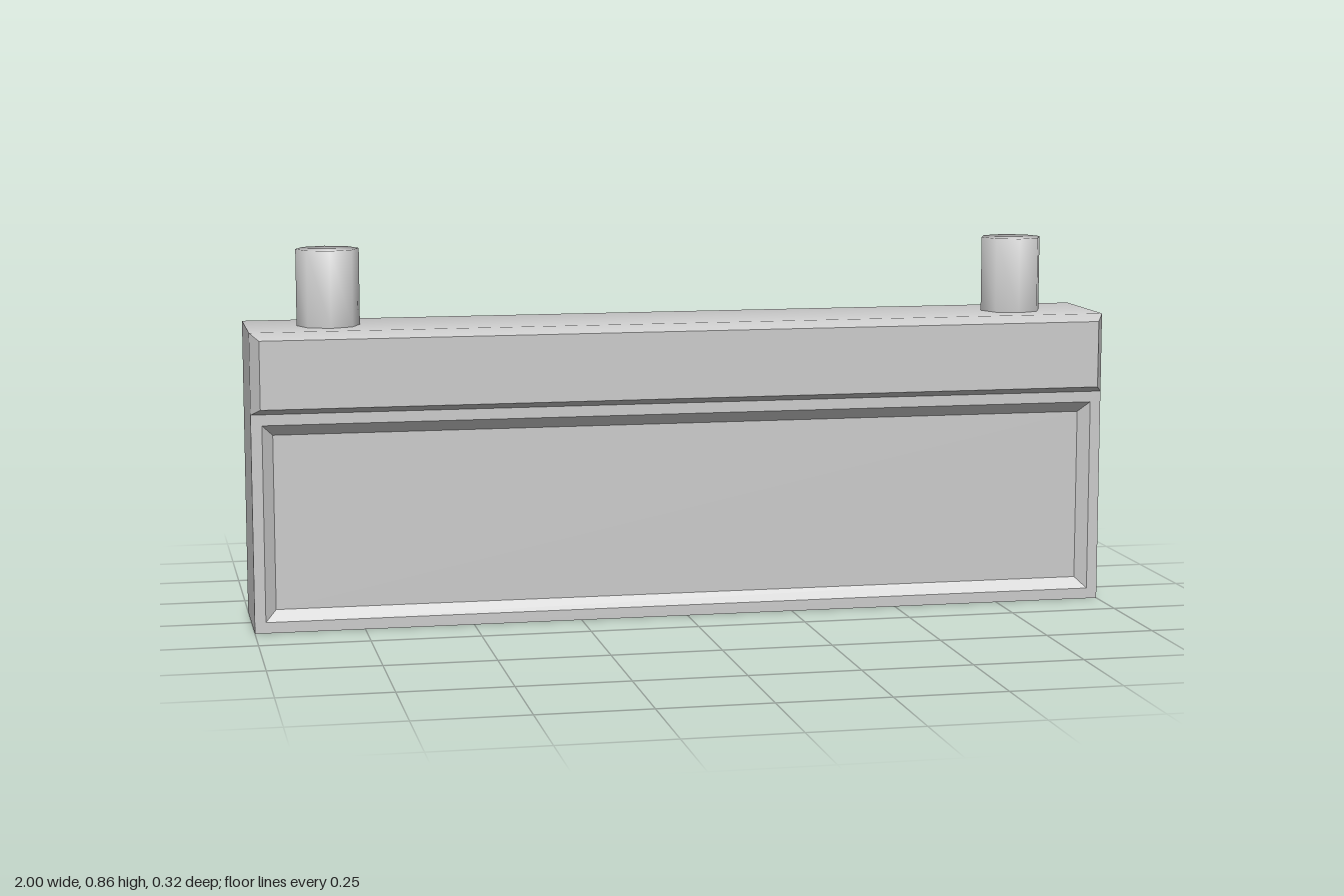
import * as THREE from 'three';
import { toCreasedNormals } from 'three/addons/utils/BufferGeometryUtils.js';

const material = new THREE.MeshStandardMaterial({ color: 0xcccccc });

// Skins rectangular rings [halfWidth, yBottom, yTop, z] from back to front and caps both ends.
// openSide (0 bottom, 2 top) is left out of the middle span, where two parts meet.
function skinRings(rings, openSide) {
  const positions = [];
  const corners = rings.map(([x, y0, y1, z]) => [[-x, y0, z], [x, y0, z], [x, y1, z], [-x, y1, z]]);
  const quad = (a, b, c, d) => positions.push(...a, ...b, ...c, ...a, ...c, ...d);
  const middle = rings.length / 2 - 1;
  for (let r = 0; r < rings.length - 1; r++) {
    for (let i = 0; i < 4; i++) {
      if (r === middle && i === openSide) continue;
      const j = (i + 1) % 4;
      quad(corners[r][i], corners[r][j], corners[r + 1][j], corners[r + 1][i]);
    }
  }
  quad(...[...corners[0]].reverse());
  quad(...corners[corners.length - 1]);
  const geometry = new THREE.BufferGeometry();
  geometry.setAttribute('position', new THREE.Float32BufferAttribute(positions, 3));
  return toCreasedNormals(geometry, 0.45);
}

// Completes a set of front rings with their mirror images at the back
function mirrored(frontRings) {
  const back = frontRings.map(([x, y0, y1, z]) => [x, y0, y1, -z]).reverse();
  return [...back, ...frontRings];
}

function addPart(group, name, geometry) {
  const mesh = new THREE.Mesh(geometry, material);
  mesh.name = name;
  group.add(mesh);
  return mesh;
}

export function createModel() {
  const group = new THREE.Group();
  group.name = 'hangingSign';

  // Main box with a bevelled, recessed panel on front and back
  addPart(group, 'panelBox', skinRings(mirrored([
    [1, 0, 0.5, 0.125],
    [0.975, 0.025, 0.475, 0.125],
    [0.95, 0.05, 0.45, 0.105],
  ]), 2));

  // Wider header band with chamfered faces
  addPart(group, 'headerBand', skinRings(mirrored([
    [1, 0.5, 0.685, 0.125],
    [0.98, 0.515, 0.67, 0.16],
  ]), 0));

  // Eight-sided, softly shaded mounting posts
  const post = new THREE.LatheGeometry([
    new THREE.Vector2(0.072, 0.685),
    new THREE.Vector2(0.072, 0.86),
    new THREE.Vector2(0, 0.86),
  ], 8);
  for (const [name, side] of [['leftPost', 1], ['rightPost', -1]]) {
    addPart(group, name, post).position.x = side * 0.812;
  }

  return group;
}
